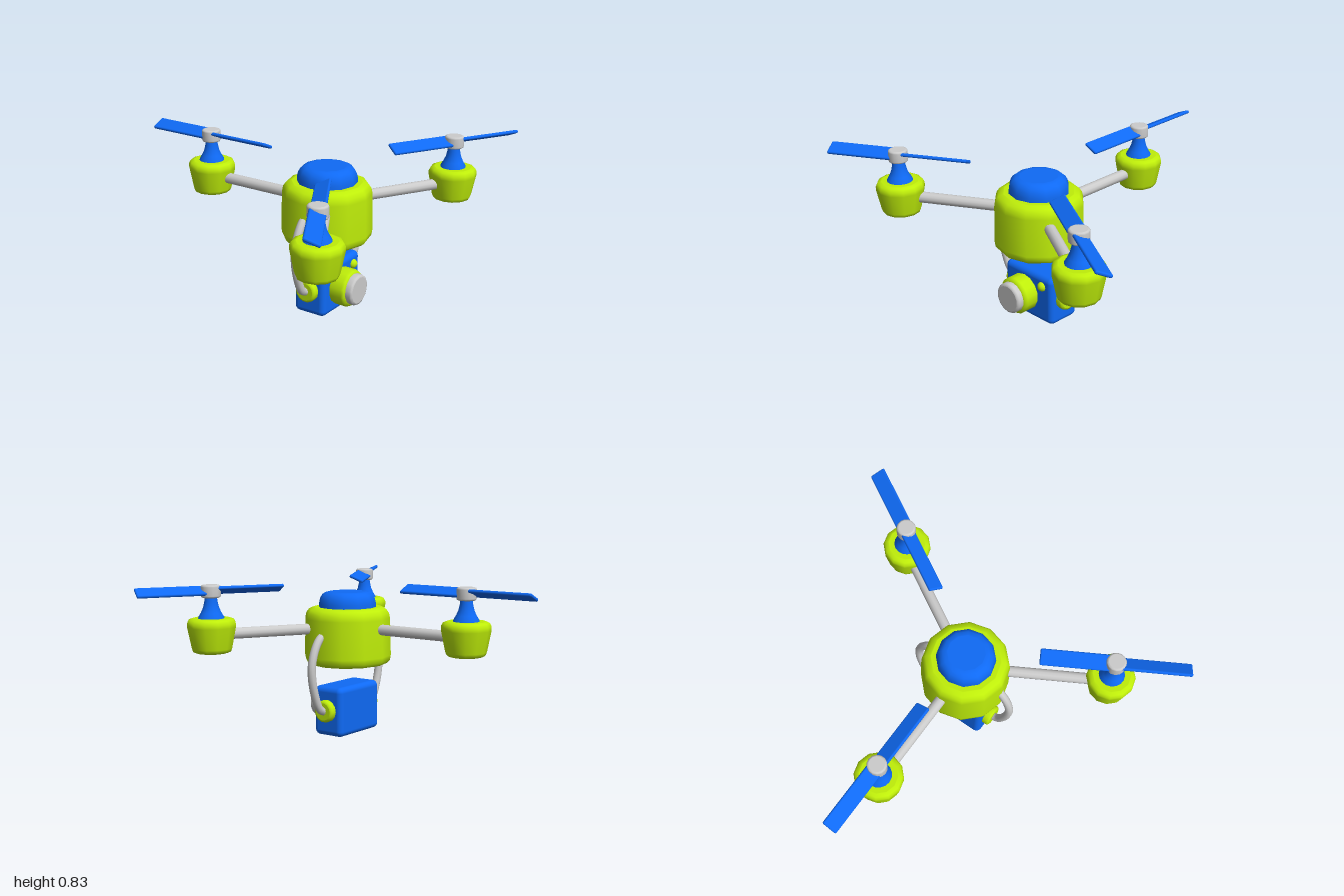
import * as THREE from 'three';
import { RoundedBoxGeometry } from 'three/addons/geometries/RoundedBoxGeometry.js';

const lime = new THREE.MeshStandardMaterial({ color: 0xbfee0a });
const blue = new THREE.MeshStandardMaterial({ color: 0x0f6af5 });
const grey = new THREE.MeshStandardMaterial({ color: 0xcccccc });

const CENTRE_Z = 0.267; // body axis
const ARM = 0.752; // body axis to rotor axis

function add(parent, name, geometry, material, x = 0, y = 0, z = 0) {
  const mesh = new THREE.Mesh(geometry, material);
  mesh.name = name;
  mesh.position.set(x, y, z);
  parent.add(mesh);
  return mesh;
}

// Turned part from [radius, height] pairs, listed bottom to top
function turned(profile, sides = 12) {
  return new THREE.LatheGeometry(profile.map(([r, y]) => new THREE.Vector2(r, y)), sides);
}

// Disc with softened rims, from y = 0 up to y = h
function softDisc(r, h, b, sides = 14) {
  return turned([
    [0, 0], [r - b * 1.1, 0], [r - b, 0], [r - b * 0.3, b * 0.3], [r, b],
    [r, h - b], [r - b * 0.3, h - b * 0.3], [r - b, h], [r - b * 1.1, h], [0, h],
  ], sides);
}

// One arm pointing along local +x, with its motor pod and propeller
function createRotor(angle) {
  const rotor = new THREE.Group();
  rotor.name = 'rotorArm';
  rotor.position.z = CENTRE_Z;
  rotor.rotation.y = angle;

  const arm = add(rotor, 'arm', new THREE.CylinderGeometry(0.029, 0.029, ARM - 0.2, 12), grey, (ARM + 0.1) / 2, 0.58, 0);
  arm.rotation.z = Math.PI / 2;

  add(rotor, 'motorPod', turned([
    [0, 0.487], [0.08, 0.487], [0.083, 0.487], [0.098, 0.493], [0.105, 0.51],
    [0.127, 0.62], [0.127, 0.64], [0.118, 0.658], [0.1, 0.665], [0.097, 0.665], [0, 0.665],
  ]), lime, ARM);

  add(rotor, 'spindle', turned([
    [0.07, 0.655], [0.066, 0.672], [0.052, 0.695], [0.041, 0.72], [0.034, 0.75], [0.03, 0.785],
  ], 16), blue, ARM);

  add(rotor, 'propellerHub', softDisc(0.051, 0.066, 0.01), grey, ARM, 0.77, 0);

  // Two blades pitched in opposite directions
  for (const side of [1, -1]) {
    const blade = add(rotor, 'propellerBlade', new RoundedBoxGeometry(0.37, 0.018, 0.084, 2, 0.008),
      blue, ARM + side * 0.197, 0.807, 0);
    blade.rotation.x = -side * 0.42;
  }
  return rotor;
}

function createCamera() {
  const camera = new THREE.Group();
  camera.name = 'camera';
  camera.position.set(0.007, 0.14, 0.27);

  add(camera, 'cameraCase', new RoundedBoxGeometry(0.346, 0.268, 0.186, 4, 0.03), blue);

  const lens = new THREE.Group();
  lens.name = 'lens';
  lens.position.set(-0.024, 0.004, 0.08);
  lens.rotation.x = Math.PI / 2;
  camera.add(lens);
  add(lens, 'lensRing', softDisc(0.1, 0.1, 0.018), lime);
  add(lens, 'lensGlass', softDisc(0.083, 0.05, 0.012), grey, 0, 0.085, 0);

  add(camera, 'cameraButton', new THREE.SphereGeometry(0.026, 12, 8), lime, 0.105, 0.078, 0.09);

  // Side pivots and curved hanger rods
  for (const side of [1, -1]) {
    const pivot = add(camera, 'pivotKnob', softDisc(0.06, 0.05, 0.012), lime, side * 0.16, 0.006, 0);
    pivot.rotation.z = -side * Math.PI / 2;

    const path = new THREE.CatmullRomCurve3([
      [0.185, 0.555], [0.225, 0.54], [0.265, 0.49], [0.293, 0.41], [0.293, 0.33],
      [0.268, 0.23], [0.235, 0.165], [0.19, 0.142],
    ].map(([x, y]) => new THREE.Vector3(side * x, y - 0.14, 0)));
    add(camera, 'hangerRod', new THREE.TubeGeometry(path, 32, 0.022, 10), grey);
    add(camera, 'rodEnd', new THREE.SphereGeometry(0.022, 10, 8), grey, side * 0.19, 0.002, 0);
  }
  return camera;
}

export function createModel() {
  const model = new THREE.Group();
  model.name = 'drone';

  // Central body and dome
  add(model, 'body', turned([
    [0, 0.38], [0.185, 0.38], [0.19, 0.38], [0.215, 0.386], [0.23, 0.403], [0.235, 0.43],
    [0.231, 0.63], [0.225, 0.658], [0.21, 0.679], [0.185, 0.69], [0.18, 0.69], [0, 0.69],
  ]), lime, 0, 0, CENTRE_Z);
  add(model, 'dome', turned([
    [0.155, 0.68], [0.155, 0.71], [0.149, 0.735], [0.138, 0.755], [0.12, 0.768],
    [0.1, 0.772], [0.097, 0.772], [0, 0.772],
  ]), blue, 0, 0, CENTRE_Z);

  // Three arms, evenly spaced, one pointing straight back
  for (let i = 0; i < 3; i++) model.add(createRotor(Math.PI / 2 + (i * Math.PI * 2) / 3));

  model.add(createCamera());
  return model;
}
